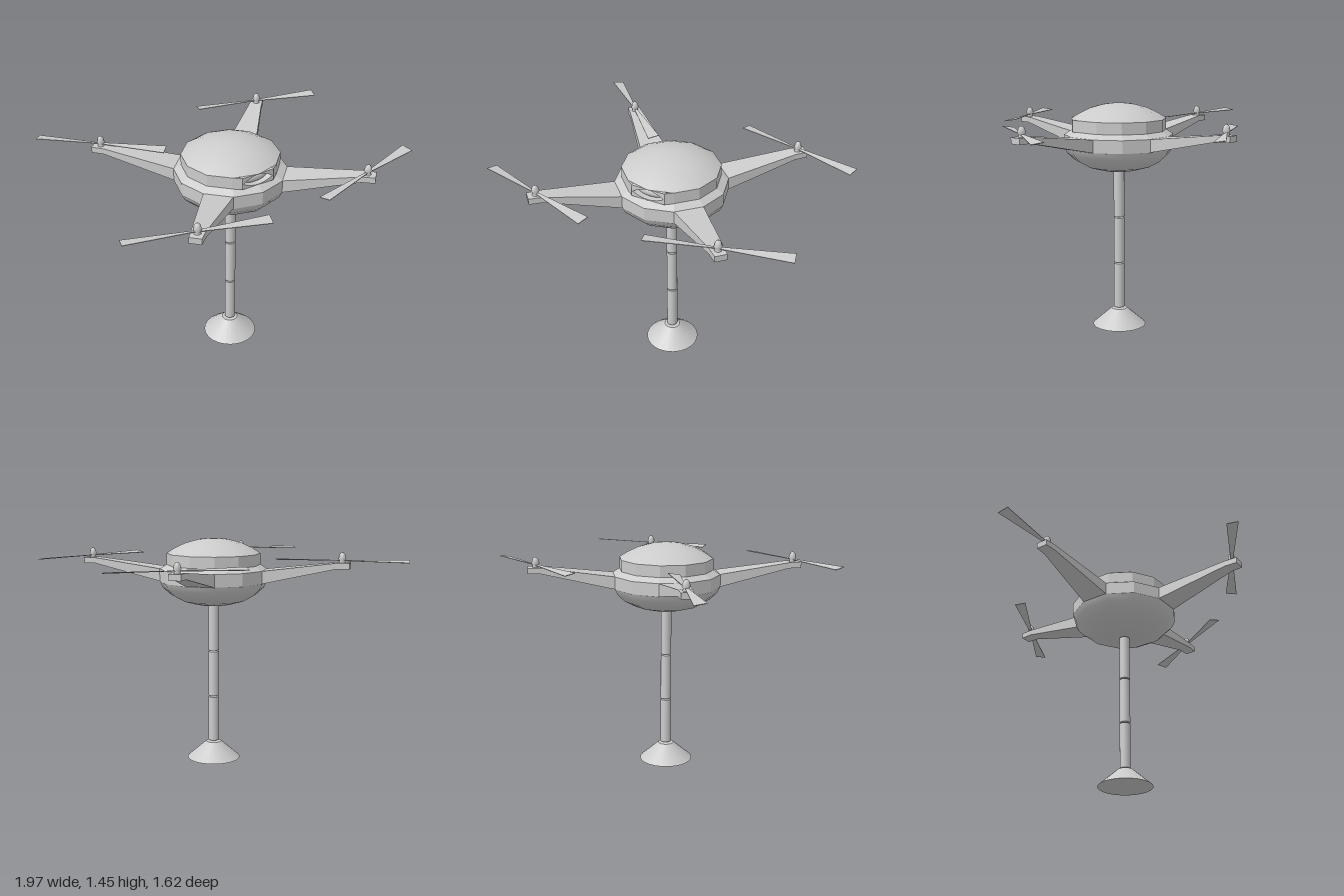
import * as THREE from 'three';

const ZC = 0.085; // body axis
const SIDES = 12;
const smooth = new THREE.MeshStandardMaterial({ color: 0xcccccc, side: THREE.DoubleSide });
const flat = new THREE.MeshStandardMaterial({ color: 0xcccccc, flatShading: true, side: THREE.DoubleSide });

function add(parent, name, geometry, material, x = 0, y = 0, z = 0) {
  const mesh = new THREE.Mesh(geometry, material);
  mesh.name = name;
  mesh.position.set(x, y, z);
  parent.add(mesh);
  return mesh;
}

// Profile of [radius, height] pairs, listed from bottom to top
function lathe(points, sides = SIDES, start = 0, length = Math.PI * 2) {
  return new THREE.LatheGeometry(points.map(p => new THREE.Vector2(p[0], p[1])), sides, start, length);
}

// Joins rectangular sections [distance, halfWidth, bottom, top] along +z and caps both ends
function loft(sections) {
  const pos = [], index = [];
  for (const [d, w, b, t] of sections) pos.push(-w, b, d, w, b, d, w, t, d, -w, t, d);
  for (let s = 0; s < sections.length - 1; s++) {
    for (let i = 0; i < 4; i++) {
      const a = s * 4 + i, n = s * 4 + (i + 1) % 4;
      index.push(a, n, n + 4, a, n + 4, a + 4);
    }
  }
  const e = (sections.length - 1) * 4;
  index.push(0, 2, 1, 0, 3, 2, e, e + 1, e + 2, e, e + 2, e + 3);
  const g = new THREE.BufferGeometry();
  g.setAttribute('position', new THREE.Float32BufferAttribute(pos, 3));
  g.setIndex(index);
  g.computeVertexNormals();
  return g;
}

function buildBody() {
  const body = new THREE.Group();
  body.name = 'body';
  add(body, 'lowerBowl', lathe([[0, 1.03], [0.12, 1.03], [0.21, 1.055], [0.28, 1.093], [0.325, 1.135], [0.345, 1.175]]), smooth);
  add(body, 'middleRing', lathe([[0.345, 1.175], [0.345, 1.255], [0.3, 1.283], [0.2, 1.283]]), flat);
  // Upper band leaves the front two sides open for the sensor window
  add(body, 'upperBand', lathe([[0.3, 1.28], [0.3, 1.355]], 10, Math.PI / 6, Math.PI * 5 / 3), flat);
  add(body, 'dome', lathe([[0.3, 1.355], [0.25, 1.387], [0.18, 1.42], [0.1, 1.442], [0.04, 1.449], [0, 1.45]]), smooth);

  // Front panel with a lens-shaped opening
  const panel = new THREE.Shape();
  panel.moveTo(-0.108, -0.037).lineTo(0.108, -0.037).lineTo(0.108, 0.037).lineTo(-0.108, 0.037).closePath();
  const hole = new THREE.Path();
  hole.moveTo(-0.1, -0.005).quadraticCurveTo(0, 0.07, 0.1, -0.005).quadraticCurveTo(0, -0.06, -0.1, -0.005);
  panel.holes.push(hole);
  const panelGeo = new THREE.ExtrudeGeometry(panel, { depth: 0.06, bevelEnabled: false, curveSegments: 10 });
  add(body, 'sensorWindow', panelGeo, flat, 0, 1.318, 0.234);
  for (const s of [-1, 1]) {
    const cheek = add(body, 'windowCheek', new THREE.BoxGeometry(0.056, 0.074, 0.01), flat, s * 0.127, 1.318, 0.271);
    cheek.rotation.y = s * 0.65;
  }
  const eye = add(body, 'sensorLens', new THREE.SphereGeometry(1, 16, 10), smooth, 0, 1.312, 0.235);
  eye.scale.set(0.1, 0.034, 0.035);
  return body;
}

// Two-bladed propeller along x: each blade widens outward and is slightly pitched
function buildPropeller() {
  const prop = new THREE.Group();
  prop.name = 'propeller';
  const bladeGeo = loft([[0, 0.007, -0.002, 0.002], [0.41, 0.036, -0.002, 0.002]]);
  for (const s of [-1, 1]) {
    const holder = new THREE.Group();
    holder.name = 'bladeHolder';
    holder.rotation.y = s * Math.PI / 2;
    const blade = add(holder, 'blade', bladeGeo, flat);
    blade.rotation.z = 0.15;
    prop.add(holder);
  }
  return prop;
}

// Arm runs outward along +z, with a level pad and a spindle at its tip
function buildArm() {
  const arm = new THREE.Group();
  arm.name = 'arm';
  add(arm, 'armBeam', loft([
    [0.24, 0.092, 1.175, 1.255], [0.33, 0.089, 1.175, 1.255],
    [0.79, 0.041, 1.275, 1.312], [0.87, 0.036, 1.275, 1.312],
  ]), flat);
  add(arm, 'rotorSpindle', lathe([[0.022, 1.31], [0.017, 1.325], [0.025, 1.337], [0.018, 1.362], [0.008, 1.374], [0, 1.376]], 8), smooth, 0, 0, 0.82);
  return arm;
}

export function createModel() {
  const model = new THREE.Group();
  model.name = 'hoverDrone';

  const craft = new THREE.Group();
  craft.name = 'craft';
  craft.position.z = ZC;
  craft.add(buildBody());
  model.add(craft);

  // Arms on the diagonals; each propeller has its own resting angle
  const rotors = [[1, 1, 0.25], [1, -1, -0.265], [-1, 1, -0.28], [-1, -1, -0.765]];
  for (const [sx, sz, turn] of rotors) {
    const arm = buildArm();
    arm.rotation.y = Math.atan2(sx, sz);
    const prop = buildPropeller();
    prop.position.set(sx * 0.58, 1.326, sz * 0.58);
    prop.rotation.y = turn;
    craft.add(arm, prop);
  }

  // Column of three separate lengths below the craft
  for (let i = 0; i < 3; i++) {
    add(model, 'columnSegment', new THREE.CylinderGeometry(0.034, 0.034, 0.295, 20), smooth, 0, 0.265 + i * 0.304, ZC);
  }
  add(model, 'baseCone', new THREE.CylinderGeometry(0.05, 0.173, 0.108, 24), smooth, 0, 0.054, ZC);
  return model;
}
